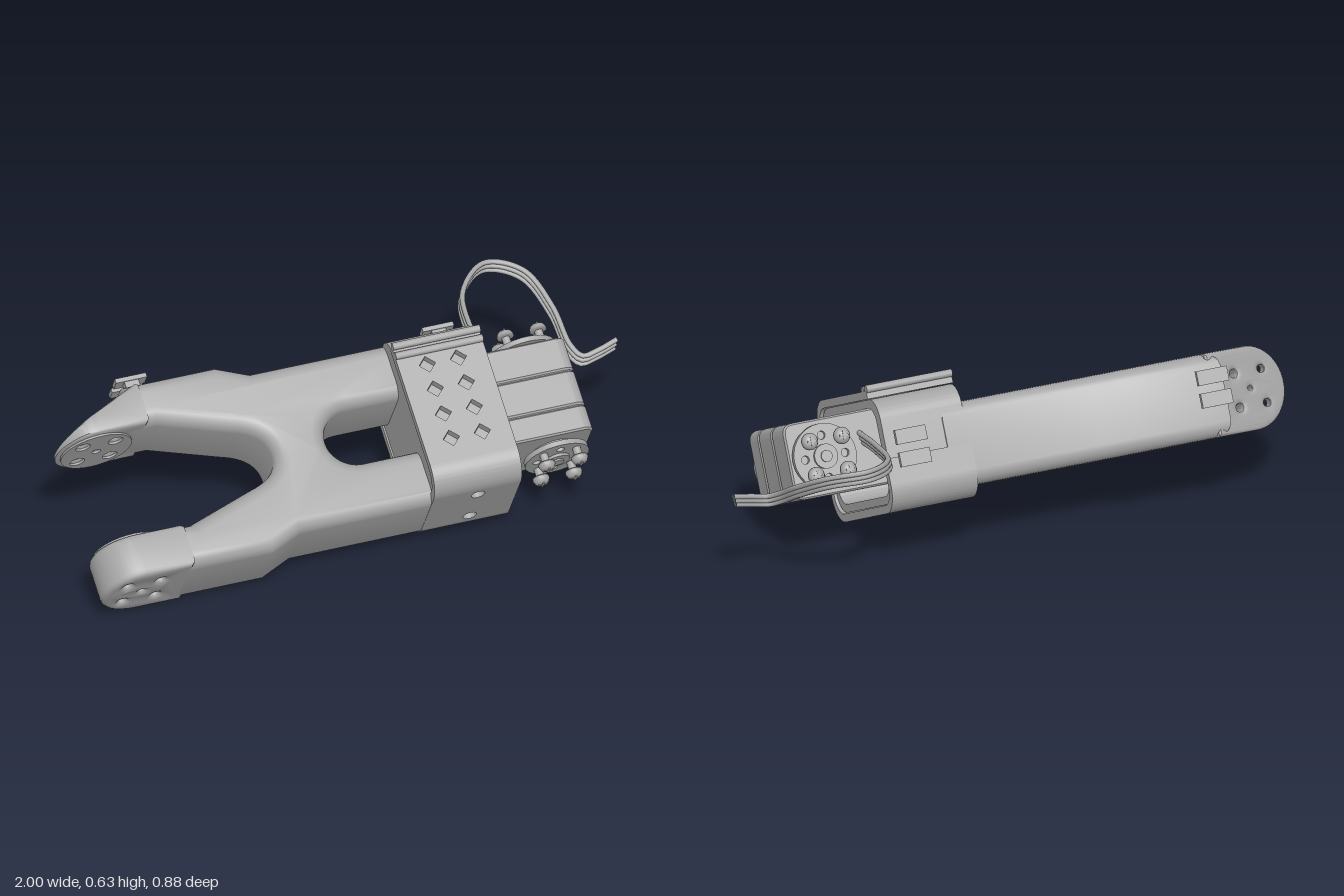
import * as THREE from 'three';
import { toCreasedNormals } from 'three/addons/utils/BufferGeometryUtils.js';

const grey = new THREE.MeshStandardMaterial({ color: 0xa6a6a6 });
grey.name = 'grey plastic';

// Local frame: x along the arm, y through its thickness, z across its width.
export function createModel() {
  const model = new THREE.Group();
  const arm = new THREE.Group();
  arm.name = 'arm';
  arm.rotation.x = Math.PI / 6;
  arm.position.set(0, 0.297, 0.1);
  model.add(arm);

  const add = (name, geo, parent = arm) => {
    const m = new THREE.Mesh(geo, grey);
    m.name = name;
    parent.add(m);
    return m;
  };
  const box = (name, sx, sy, sz, x, y, z) => add(name, new THREE.BoxGeometry(sx, sy, sz).translate(x, y, z));
  // Extrusion whose total depth is "depth", starting at z = 0
  const extrude = (shape, depth, bevel = 0, segs = 3) => new THREE.ExtrudeGeometry(shape, {
    depth: depth - 2 * bevel, bevelEnabled: bevel > 0, bevelSize: bevel, bevelThickness: bevel,
    bevelOffset: -bevel, bevelSegments: segs, curveSegments: 14,
  }).translate(0, 0, bevel);
  const crease = (g) => toCreasedNormals(g, 0.6);
  const roundRect = (s, x0, y0, x1, y1, r) => {
    s.moveTo(x0 + r, y0).lineTo(x1 - r, y0).absarc(x1 - r, y0 + r, r, -Math.PI / 2, 0, false);
    s.lineTo(x1, y1 - r).absarc(x1 - r, y1 - r, r, 0, Math.PI / 2, false);
    s.lineTo(x0 + r, y1).absarc(x0 + r, y1 - r, r, Math.PI / 2, Math.PI, false);
    s.lineTo(x0, y0 + r).absarc(x0 + r, y0 + r, r, Math.PI, 1.5 * Math.PI, false);
    return s;
  };
  const hole = (x, y, r) => new THREE.Path().absarc(x, y, r, 0, Math.PI * 2, true);
  const diamond = (x, y, r) => new THREE.Path().setFromPoints(
    [[x + r, y], [x, y - r], [x - r, y], [x, y + r], [x + r, y]].map((p) => new THREE.Vector2(...p)));

  // Forked hub: two prongs to the left, a slot open to the right
  const hub = new THREE.Shape();
  hub.moveTo(-0.74, -0.345).lineTo(-0.41, -0.345).lineTo(-0.3, -0.297).lineTo(0.25, -0.297).lineTo(0.25, -0.1);
  hub.lineTo(-0.02, -0.1).absarc(-0.02, 0, 0.1, -Math.PI / 2, Math.PI / 2, true);
  hub.lineTo(0.25, 0.1).lineTo(0.25, 0.297).lineTo(-0.3, 0.297).lineTo(-0.41, 0.345).lineTo(-0.74, 0.345);
  hub.lineTo(-0.74, 0.19).lineTo(-0.66, 0.19).lineTo(-0.42, 0.11);
  hub.quadraticCurveTo(-0.31, 0.08, -0.31, 0).quadraticCurveTo(-0.31, -0.08, -0.42, -0.11);
  hub.lineTo(-0.66, -0.19).lineTo(-0.74, -0.19);
  add('forkBody', crease(extrude(hub, 0.285, 0.05, 5).rotateX(-Math.PI / 2).translate(0, -0.17, 0)));

  // Prong tips with a round end and screw holes; the back one tapers
  const cx = -0.8575, cy = -0.0275;
  const drill = (s, r) => {
    for (const i of [-1, 1]) for (const j of [-1, 1]) s.holes.push(hole(cx + i * 0.058, cy + j * 0.058, r));
    s.holes.push(hole(cx, cy, r * 0.6));
    return s;
  };
  const tip = new THREE.Shape();
  tip.moveTo(-0.69, cy + 0.1425).lineTo(cx, cy + 0.1425);
  tip.absarc(cx, cy, 0.1425, Math.PI / 2, 1.5 * Math.PI, false).lineTo(-0.69, cy - 0.1425);
  const tipGeo = () => extrude(drill(tip.clone(), 0.014), 0.155, 0.02);
  tip.holes = [];
  add('frontProngTip', crease(tipGeo().translate(0, 0, 0.19)));
  const back = tipGeo().translate(0, 0, -0.345);
  const p = back.attributes.position;
  for (let i = 0; i < p.count; i++) {
    const k = Math.max(0, (-0.69 - p.getX(i)) / 0.31);
    p.setZ(i, -0.19 + (p.getZ(i) + 0.19) * (1 - 0.9 * k));
  }
  add('backProngTip', crease(back));
  // Horn seats on the inner faces of the tips
  for (const s of [-1, 1]) {
    const pad = drill(new THREE.Shape().absarc(cx, cy, 0.125, 0, Math.PI * 2, false), 0.026);
    add('hornSeat', crease(extrude(pad, 0.008).translate(0, 0, s * 0.187 - 0.004)));
  }

  // Socket that holds the motor, with its end wall
  const socket = roundRect(new THREE.Shape(), -0.272, -0.178, 0.292, 0.178, 0.075);
  socket.holes.push(roundRect(new THREE.Path(), -0.245, -0.15, 0.25, 0.15, 0.055));
  add('socket', crease(extrude(socket, 0.295).rotateY(Math.PI / 2).translate(0.17, 0, 0)));
  const wall = roundRect(new THREE.Shape(), -0.26, -0.165, 0.28, 0.165, 0.06);
  add('socketWall', crease(extrude(wall, 0.03).rotateY(Math.PI / 2).translate(0.17, 0, 0)));

  // Sleeve: pierced plates joined by round corners, open at the upper back
  const T = 0.208, W = 0.298, R = 0.09, th = 0.028, x0 = 0.165, x1 = 0.475;
  const rect = (a, b, c, d) => new THREE.Shape([[a, b], [c, b], [c, d], [a, d]].map((q) => new THREE.Vector2(...q)));
  const plate = (zBack) => {
    const s = rect(x0, -(W - R), x1, -zBack);
    for (const x of [0.265, 0.375]) for (const z of [-0.15, -0.058, 0.035, 0.127]) s.holes.push(diamond(x, -z, 0.029));
    return extrude(s, th).rotateX(-Math.PI / 2);
  };
  add('sleeveTop', plate(-0.235).translate(0, T - th, 0));
  add('sleeveBottom', plate(-(W - R)).translate(0, -T, 0));
  const side = rect(x0, -(T - R), x1, T - R);
  for (const y of [-0.085, 0.085]) side.holes.push(hole(0.33, y, 0.024));
  add('sleeveFront', crease(extrude(side, th).translate(0, 0, W - th)));
  box('sleeveBack', x1 - x0, 0.09, th, (x0 + x1) / 2, -(T - R) + 0.045, -W + th / 2);
  for (const [z, y, a] of [[1, 1, 0.5], [1, -1, 1], [-1, -1, 1.5]]) {
    const c = new THREE.Shape();
    const ox = -z * (W - R), oy = y * (T - R), a0 = a * Math.PI, a1 = a0 + Math.PI / 2;
    c.absarc(ox, oy, R, a0, a1, false);
    c.absarc(ox, oy, R - th, a1, a0, true);
    add('sleeveCorner', crease(extrude(c, x1 - x0).rotateY(Math.PI / 2).translate(x0, 0, 0)));
  }
  for (const [y, z] of [[0.212, -0.2], [0.214, -0.235]]) {
    add('sleeveRidge', new THREE.CylinderGeometry(0.013, 0.013, x1 - x0, 12).rotateZ(Math.PI / 2).translate(0.32, y, z));
  }

  // Cable clips along the back
  for (const [x, z] of [[-0.69, -0.345], [0.385, -0.297]]) {
    for (const y of [-0.045, 0.04]) {
      box('cableClip', 0.05, 0.035, 0.05, x, y, z - 0.018);
      box('cableClipLip', 0.11, 0.05, 0.016, x, y * 0.9, z - 0.036);
    }
  }

  // Motor: three case sections with fine seams
  const casing = (g) => {
    const s = new THREE.Shape();
    s.moveTo(0.22, -0.11 + g).lineTo(0.73, -0.11 + g).quadraticCurveTo(0.77 - g, -0.11 + g, 0.77 - g, -0.07);
    s.lineTo(0.77 - g, 0.11).quadraticCurveTo(0.77 - g, 0.15 - g, 0.73, 0.15 - g).lineTo(0.22, 0.15 - g);
    return s;
  };
  for (const [a, b] of [[-0.172, -0.052], [-0.048, 0.078], [0.082, 0.172]]) {
    add('motorCase', crease(extrude(casing(0), b - a, 0.006, 1).translate(0, 0, a)));
  }
  add('motorCore', crease(extrude(casing(0.006), 0.3).translate(0, 0, -0.15)));

  // Horns and their screws on both sides of the motor
  for (const s of [-1, 1]) {
    const horn = new THREE.Group();
    horn.name = s > 0 ? 'frontHorn' : 'backHorn';
    horn.position.set(0.65, 0.02, 0);
    if (s < 0) horn.rotation.y = Math.PI;
    arm.add(horn);
    const cyl = (name, r, h, x, y, z) =>
      add(name, new THREE.CylinderGeometry(r, r, h, 24).rotateX(Math.PI / 2).translate(x, y, z + h / 2), horn);
    cyl('hornBoss', 0.085, 0.02, 0, 0, 0.17);
    const disc = new THREE.Shape().absarc(0, 0, 0.112, 0, Math.PI * 2, false);
    for (let i = 0; i < 4; i++) {
      const a = i * Math.PI / 2;
      disc.holes.push(hole(0.072 * Math.cos(a), 0.072 * Math.sin(a), 0.014));
    }
    add('hornDisc', crease(extrude(disc, 0.018).translate(0, 0, 0.186)), horn);
    cyl('hornHub', 0.042, 0.014, 0, 0, 0.2);
    cyl('hornHubScrew', 0.02, 0.008, 0, 0, 0.212);
    for (const i of [-1, 1]) for (const j of [-1, 1]) {
      const x = i * 0.058, y = j * 0.058;
      cyl('screwShaft', 0.014, 0.05, x, y, 0.19);
      const head = [[0, 0], [0.029, 0], [0.029, 0.008], [0.023, 0.02], [0.012, 0.026], [0, 0.027]];
      add('screwHead', new THREE.LatheGeometry(head.map((q) => new THREE.Vector2(...q)), 20)
        .rotateX(Math.PI / 2).translate(x, y, 0.236), horn);
      for (const t of [0, 1]) {
        add('screwCross', new THREE.BoxGeometry(t ? 0.007 : 0.03, t ? 0.03 : 0.007, 0.006).translate(x, y, 0.261), horn);
      }
    }
  }

  // Three-wire cable looping behind the motor
  const path = [[0.5, 0.43, 0], [0.5, 0.455, -0.15], [0.53, 0.49, -0.33], [0.64, 0.515, -0.425], [0.76, 0.49, -0.375],
    [0.82, 0.41, -0.25], [0.84, 0.33, -0.13], [0.87, 0.305, -0.09], [0.92, 0.315, -0.088], [0.995, 0.335, -0.1]];
  for (const k of [-1, 0, 1]) {
    const pts = path.map(([x, y, z]) => new THREE.Vector3(x + k * 0.004, y + k * 0.016, z));
    add('cableWire', new THREE.TubeGeometry(new THREE.CatmullRomCurve3(pts), 70, 0.009, 8), model);
    for (const [q, d] of [[pts[pts.length - 1], 1]]) {
      add('wireEnd', new THREE.CircleGeometry(0.009, 8).rotateY(d * Math.PI / 2).translate(q.x, q.y, q.z), model);
    }
  }
  return model;
}
